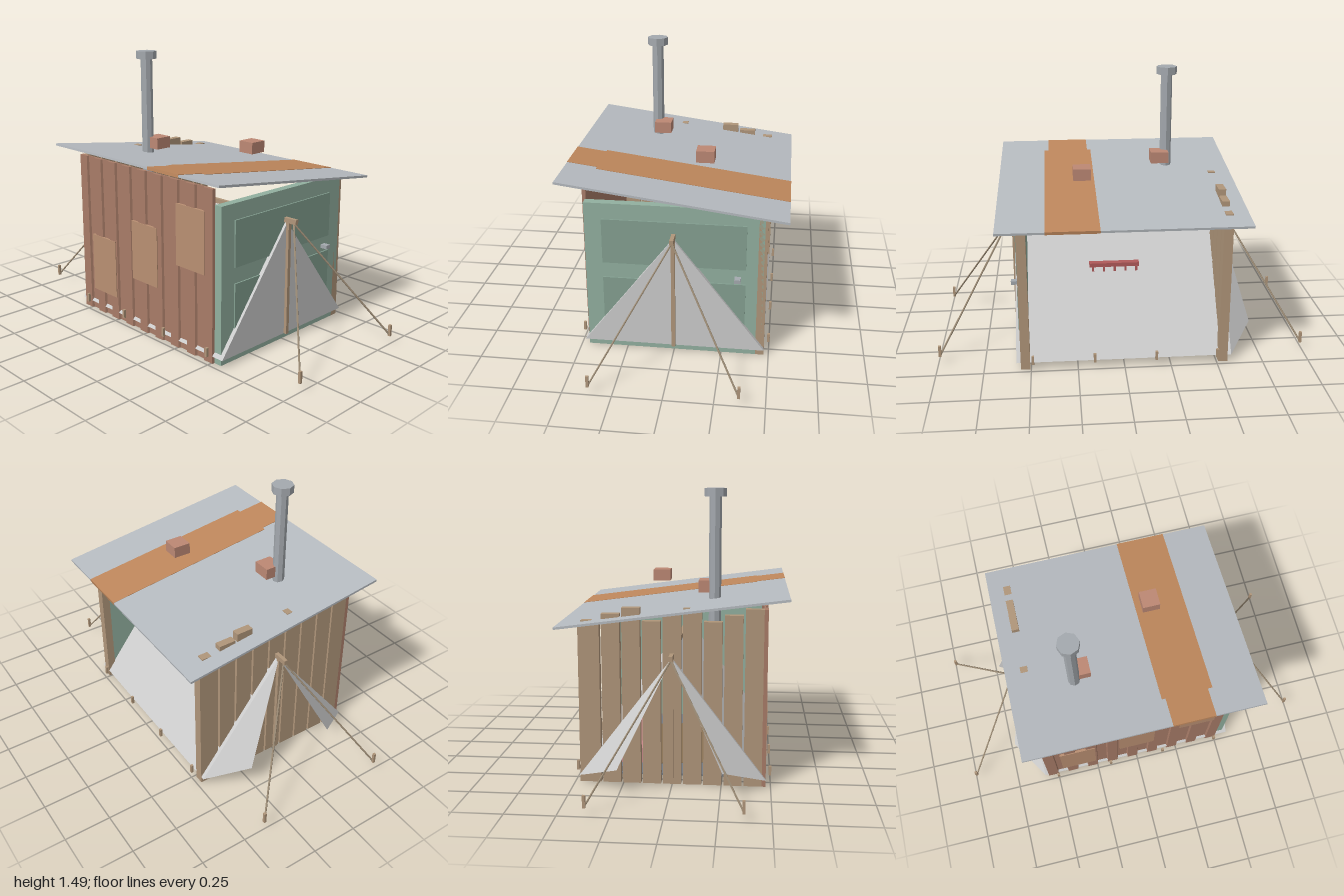
import * as THREE from 'three';

const material = (color) => new THREE.MeshStandardMaterial({ color, flatShading: true, side: THREE.DoubleSide });
const RUST = material(0xa87c68), TAN = material(0xb0967a), GREEN = material(0x92b09f), DARK_GREEN = material(0x84a091);
const METAL = material(0xb6bbc0), ORANGE = material(0xbe875c), CANVAS = material(0xcccccc), BRICK = material(0xbc8874);
const PIPE = material(0xa4a9ae), DARK = material(0x767b82), RED = material(0xb05a5a), ROPE = material(0x9a8a74);
const RUG = material(0x8a7355), PINK = material(0xc98a8a), PATCH = material(0xb98f72);

export function createModel() {
  const model = new THREE.Group();

  const add = (name, geometry, mat, x = 0, y = 0, z = 0, parent = model) => {
    const mesh = new THREE.Mesh(geometry, mat);
    mesh.name = name;
    mesh.position.set(x, y, z);
    parent.add(mesh);
    return mesh;
  };
  // Box given by its limits on each axis
  const box = (name, mat, [x0, x1], [y0, y1], [z0, z1], parent) =>
    add(name, new THREE.BoxGeometry(x1 - x0, y1 - y0, z1 - z0), mat,
      (x0 + x1) / 2, (y0 + y1) / 2, (z0 + z1) / 2, parent);
  // Flat cloth polygon, fanned from its first corner
  const cloth = (name, mat, corners) => {
    const points = [];
    for (let i = 1; i < corners.length - 1; i++) points.push(...corners[0], ...corners[i], ...corners[i + 1]);
    const geometry = new THREE.BufferGeometry();
    geometry.setAttribute('position', new THREE.Float32BufferAttribute(points, 3));
    geometry.computeVertexNormals();
    return add(name, geometry, mat);
  };
  // Thin rod between two points
  const rod = (name, mat, a, b, radius) => {
    const from = new THREE.Vector3(...a), to = new THREE.Vector3(...b);
    const direction = to.clone().sub(from);
    const mesh = add(name, new THREE.CylinderGeometry(radius, radius, direction.length(), 6), mat);
    mesh.position.copy(from).add(to).multiplyScalar(0.5);
    mesh.quaternion.setFromUnitVectors(new THREE.Vector3(0, 1, 0), direction.normalize());
    return mesh;
  };

  // Front wall: ribbed sheet with a trapezoid profile
  const profile = new THREE.Shape();
  const pitch = 1.07 / 8.5;
  profile.moveTo(-0.56, -0.455);
  for (let i = 0; i < 9; i++) {
    const x = -0.56 + i * pitch;
    profile.lineTo(x, -0.475);
    profile.lineTo(x + pitch * 0.48, -0.475);
    if (i < 8) {
      profile.lineTo(x + pitch * 0.52, -0.463);
      profile.lineTo(x + pitch * 0.96, -0.463);
    }
  }
  profile.lineTo(0.51, -0.455);
  const sheet = new THREE.ExtrudeGeometry(profile, { depth: 0.91, bevelEnabled: false });
  sheet.rotateX(-Math.PI / 2);
  add('frontWall', sheet, RUST);
  for (const [x, y] of [[-0.36, 0.295], [-0.005, 0.455], [0.35, 0.625]])
    box('wallPatch', PATCH, [x - 0.103, x + 0.103], [y - 0.165, y + 0.165], [0.466, 0.479]);

  // Left wall: nine uneven planks with gaps
  for (let i = 0; i < 9; i++) {
    const z = 0.41 - i * 0.1028;
    box('sidePlank', TAN, [-0.56, -0.52], [0, [0.91, 0.878, 0.844][i % 3]], [z - 0.046, z + 0.046]);
  }

  // Back corner posts
  for (const x of [-0.535, 0.53]) box('backPost', TAN, [x - 0.025, x + 0.025], [0, 0.81], [-0.475, -0.43]);

  // Right wall: an old door with two panels and a knob
  box('door', GREEN, [0.51, 0.555], [0, 0.83], [-0.46, 0.46]);
  box('doorPanel', DARK_GREEN, [0.515, 0.563], [0.5, 0.745], [-0.37, 0.37]);
  box('doorPanel', DARK_GREEN, [0.515, 0.563], [0.09, 0.415], [-0.37, 0.37]);
  box('doorKnob', PIPE, [0.555, 0.595], [0.438, 0.458], [-0.345, -0.313]);

  // Sloping roof with a rusted strip
  const roof = new THREE.Group();
  roof.name = 'roof';
  roof.position.set(0, 0.892, 0);
  roof.rotation.x = -Math.atan2(0.154, 1.155);
  model.add(roof);
  box('roofSheet', METAL, [-0.645, 0.655], [-0.006, 0.006], [-0.583, 0.583], roof);
  box('rustStrip', ORANGE, [0.13, 0.405], [-0.008, 0.008], [-0.584, 0.425], roof);
  box('rustStripEnd', ORANGE, [0.15, 0.38], [-0.008, 0.008], [0.425, 0.584], roof);

  // Bricks weighing down the roof
  box('brick', BRICK, [-0.3, -0.2], [0.952, 1.015], [0.115, 0.21]);
  box('brick', BRICK, [0.155, 0.25], [0.952, 1.015], [-0.175, -0.078]);

  // Stove pipe and cap
  add('stovePipe', new THREE.CylinderGeometry(0.032, 0.032, 1.1, 8), PIPE, -0.292, 0.9, 0.2);
  add('pipeCap', new THREE.CylinderGeometry(0.057, 0.057, 0.042, 8), PIPE, -0.292, 1.469, 0.2);

  // Ridge tent: two slopes, closed right end, open left end with folded flaps
  for (const s of [-1, 1]) {
    cloth('tentSlope', CANVAS, [[-0.58, 0.66, 0], [0.578, 0.66, 0], [0.578, 0.04, s * 0.475], [-0.58, 0.04, s * 0.475]]);
    cloth('tentFlap', CANVAS, [[-0.58, 0.66, 0], [-0.58, 0.04, s * 0.475], [-0.722, 0.125, s * 0.26]]);
    box('tentPole', TAN, [s * 0.585 - 0.01, s * 0.585 + 0.01], [0.04, 0.68], [-0.01, 0.01]);
    // Guy ropes with their pegs
    for (const t of [-1, 1]) {
      rod('guyRope', ROPE, [s * 0.62, 0.66, 0], [s * 0.99, 0.045, t * 0.37], 0.005);
      box('guyPeg', TAN, [s * 0.99 - 0.007, s * 0.99 + 0.007], [0.04, 0.102], [t * 0.37 - 0.007, t * 0.37 + 0.007]);
    }
    // Pegs along the hem
    for (const x of [-0.5, -0.17, 0.16, 0.49])
      box('hemPeg', TAN, [x - 0.007, x + 0.007], [0.042, 0.09], [s * 0.497 - 0.007, s * 0.497 + 0.007]);
  }
  cloth('tentEnd', CANVAS, [[0.578, 0.66, 0], [0.578, 0.04, 0.475], [0.578, 0.04, -0.475]]);
  box('ridgePole', TAN, [-0.64, 0.64], [0.658, 0.684], [-0.01, 0.01]);

  // Floor inside the tent, with a rug and bedding
  box('groundsheet', DARK, [-0.53, 0.53], [0.035, 0.045], [-0.38, 0.38]);
  box('rug', RUG, [-0.38, 0.3], [0.033, 0.05], [-0.18, 0.18]).rotation.y = 0.15;
  box('bedding', PINK, [-0.4, 0.35], [0.05, 0.13], [-0.36, -0.16]);

  // Red rail with hooks at the back slope
  box('rail', RED, [-0.105, 0.17], [0.45, 0.472], [-0.18, -0.14]);
  for (let i = 0; i < 5; i++) {
    const x = -0.09 + i * 0.06;
    box('railHook', RED, [x - 0.006, x + 0.006], [0.425, 0.452], [-0.183, -0.172]);
  }

  return model;
}
